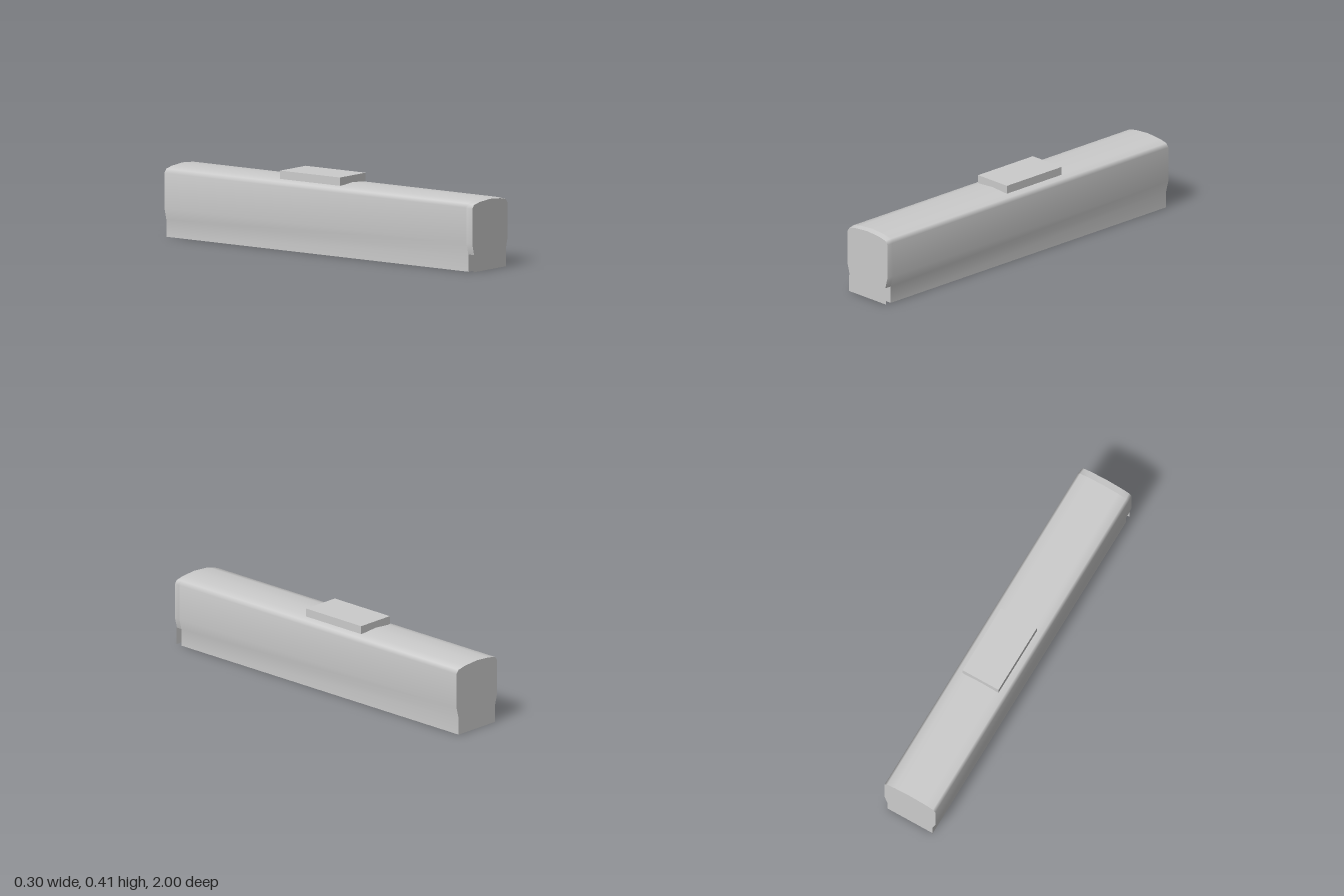
import * as THREE from 'three';

const material = new THREE.MeshStandardMaterial({ color: 0xcccccc, side: THREE.DoubleSide });

// Half cross-section from the skirt's bottom edge up to the roof ridge
const half = [[0.135, 0], [0.135, 0.09], [0.151, 0.15], [0.151, 0.333], [0.136, 0.353], [0.09, 0.363], [0, 0.37]];
const mirrored = (pts) => [...pts, ...pts.slice(0, -1).reverse().map(([x, y]) => [-x, y])];
const section = mirrored(half);
const upperSection = mirrored(half.slice(1));
const shrink = (pts) => pts.map(([x, y]) => [x * 0.974, y * 0.988]);

// Open smooth skin between two cross-sections
function loft(a, zA, b, zB) {
  const n = a.length;
  const pos = [], index = [];
  a.forEach(([x, y]) => pos.push(x, y, zA));
  b.forEach(([x, y]) => pos.push(x, y, zB));
  for (let i = 0; i < n - 1; i++) index.push(i, i + 1, n + i, i + 1, n + i + 1, n + i);
  const g = new THREE.BufferGeometry();
  g.setAttribute('position', new THREE.Float32BufferAttribute(pos, 3));
  g.setIndex(index);
  g.computeVertexNormals();
  return g;
}

const flat = (pts) => new THREE.ShapeGeometry(new THREE.Shape(pts.map(([x, y]) => new THREE.Vector2(x, y))));

export function createModel() {
  const group = new THREE.Group();
  const add = (name, geometry) => {
    const mesh = new THREE.Mesh(geometry, material);
    mesh.name = name;
    group.add(mesh);
    return mesh;
  };

  // Long shell with an open underside
  add('bodyShell', loft(section, -1, section, 0.965));

  // Tapered rim at the front, above the skirt
  add('frontRim', loft(upperSection, 0.965, shrink(upperSection), 1));

  // End walls
  const frontPts = [[0.135, 0], [0.135, 0.089], ...shrink(upperSection), [-0.135, 0.089], [-0.135, 0]];
  add('frontWall', flat(frontPts)).position.z = 1;
  const back = add('backWall', flat(section));
  back.rotation.y = Math.PI;
  back.position.z = -1;

  // Low cross panel closing the skirt behind the front wall
  add('skirtPanel', new THREE.PlaneGeometry(0.27, 0.09)).position.set(0, 0.045, 0.965);

  // Roof unit
  add('roofUnit', new THREE.BoxGeometry(0.213, 0.043, 0.39)).position.set(0, 0.3845, -0.087);

  return group;
}
